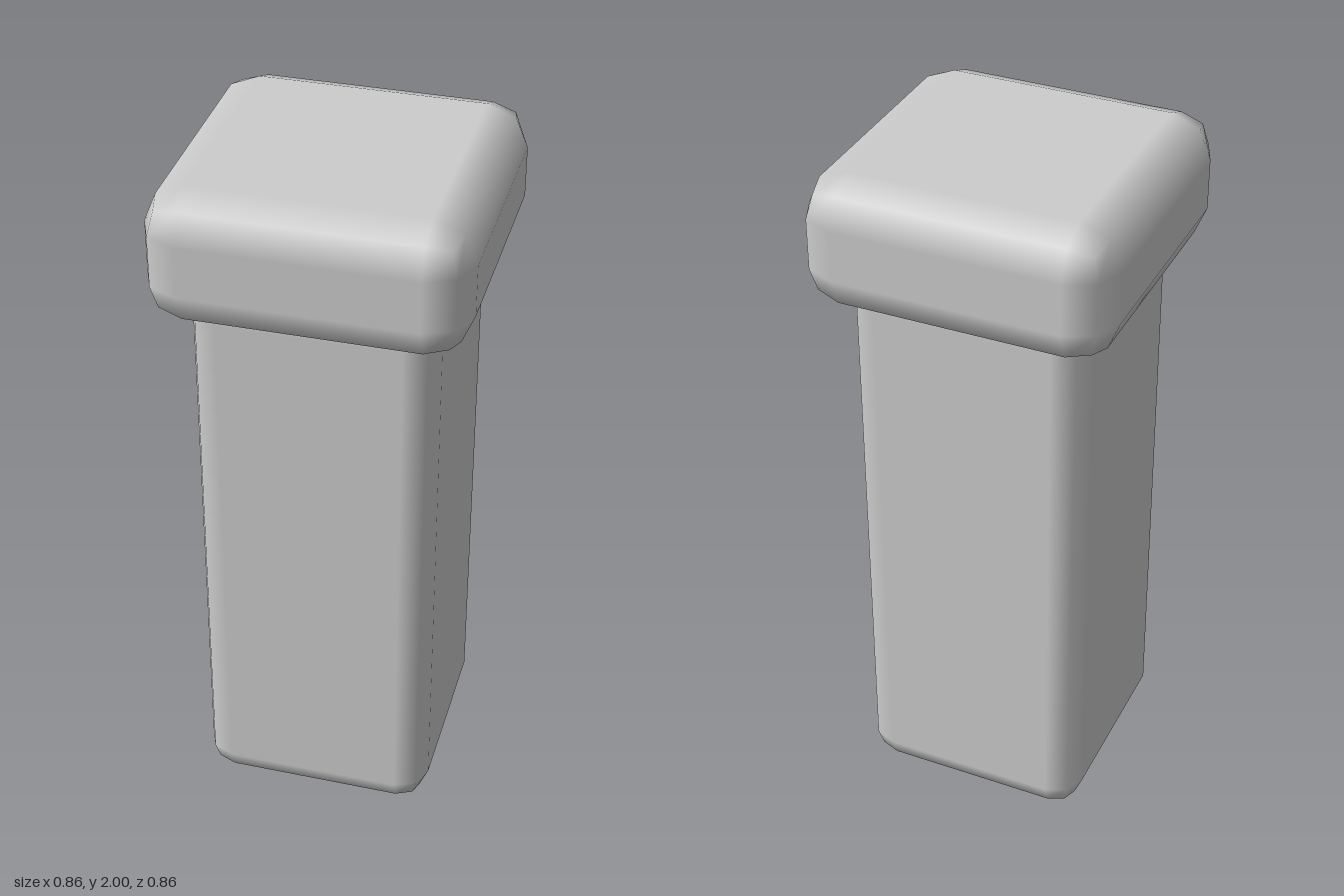
import * as THREE from 'three';
import { RoundedBoxGeometry } from 'three/addons/geometries/RoundedBoxGeometry.js';

export function createModel() {
  const group = new THREE.Group();
  group.name = 'post';
  const stone = new THREE.MeshStandardMaterial({ color: 0xcccccc });
  stone.name = 'light grey';

  // Square block with smooth two-step bevels, placed by its bottom and top
  const block = (name, width, bottom, top, radius) => {
    const geometry = new RoundedBoxGeometry(width, top - bottom, width, 1, radius);
    const mesh = new THREE.Mesh(geometry, stone);
    mesh.name = name;
    mesh.position.y = (bottom + top) / 2;
    group.add(mesh);
  };

  // Tall shaft, its rounded top sunk into the cap
  block('shaft', 0.67, 0, 1.695, 0.085);
  // Wider cushion-shaped cap
  block('cap', 0.86, 1.625, 2, 0.115);

  return group;
}
